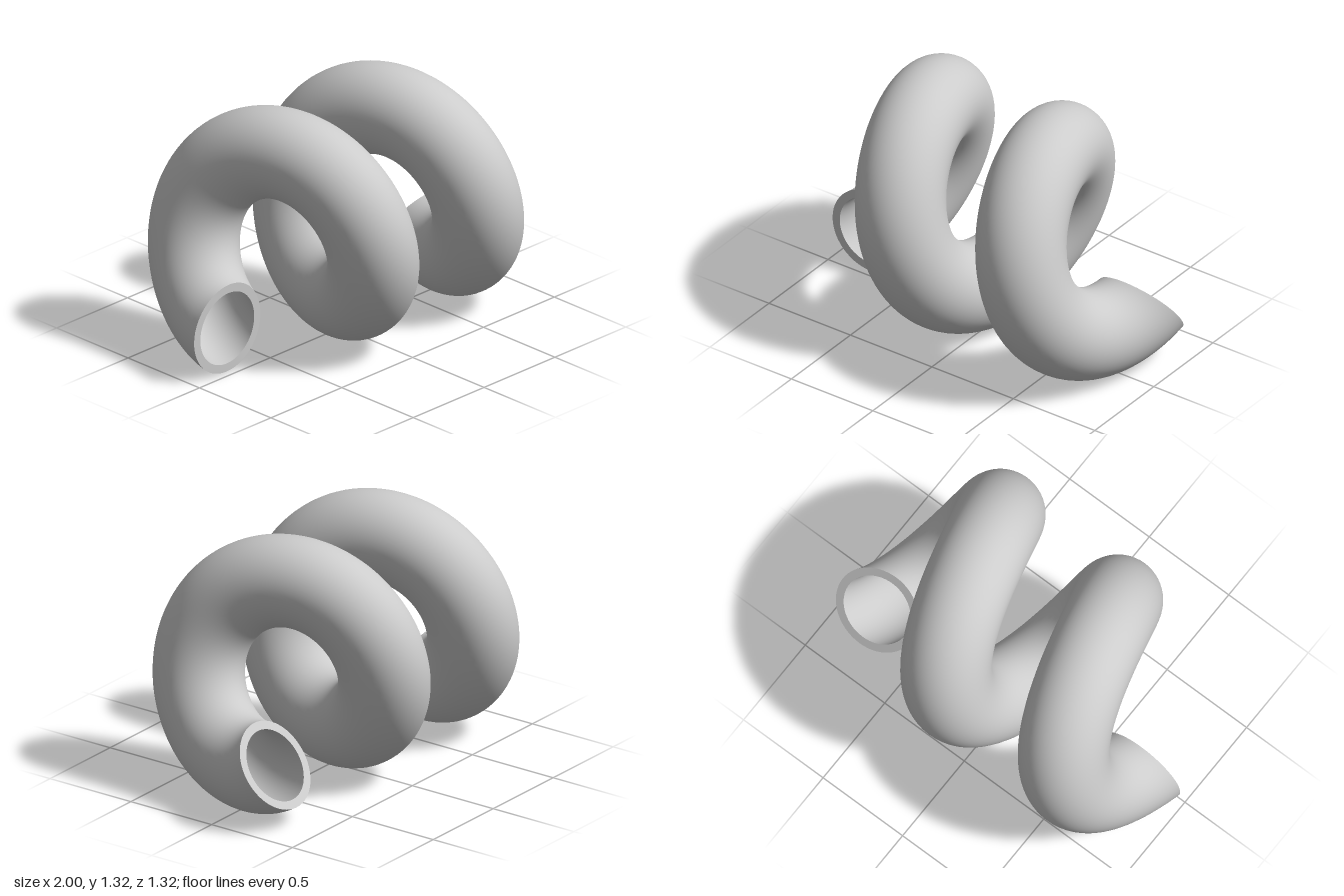
import * as THREE from 'three';

const COIL_R = 0.426, OUTER = 0.234, INNER = 0.19; // coil radius, tube radii
const AXIS_Y = 0.661, PITCH = 0.7395, START_X = -0.776;
const SWEEP = Math.PI * 4.2; // 2.1 turns
const TRIM = 0.038;          // flat ends sit slightly inside the full sweep
const AROUND = 56, ALONG = 240;

// Point on the coiled tube: t along the coil, a around a section of radius rho
function coilPoint(t, a, rho) {
  const r = COIL_R + rho * Math.cos(a);
  const cut = Math.asin(TRIM / r); // keeps both end faces planar
  const angle = cut + t * (SWEEP - 2 * cut);
  return [
    START_X + rho * Math.sin(a) + PITCH * angle / (2 * Math.PI),
    AXIS_Y - r * Math.cos(angle),
    -r * Math.sin(angle),
  ];
}

// Grid of rows that each close into a ring
function ringGrid(rows, point, flip) {
  const positions = [], index = [];
  for (let i = 0; i <= rows; i++) {
    for (let j = 0; j < AROUND; j++) {
      positions.push(...point(i / rows, j / AROUND * Math.PI * 2));
    }
  }
  for (let i = 0; i < rows; i++) {
    for (let j = 0; j < AROUND; j++) {
      const k = (j + 1) % AROUND;
      const a = i * AROUND + j, b = a + AROUND;
      const c = (i + 1) * AROUND + k, d = i * AROUND + k;
      if (flip) index.push(a, c, b, a, d, c);
      else index.push(a, b, c, a, c, d);
    }
  }
  const geometry = new THREE.BufferGeometry();
  geometry.setAttribute('position', new THREE.Float32BufferAttribute(positions, 3));
  geometry.setIndex(index);
  geometry.computeVertexNormals();
  return geometry;
}

export function createModel() {
  const group = new THREE.Group();
  group.name = 'coiledTube';
  const material = new THREE.MeshStandardMaterial({ color: 0xcccccc });
  const add = (name, geometry) => {
    const mesh = new THREE.Mesh(geometry, material);
    mesh.name = name;
    group.add(mesh);
  };

  // Outer wall and bore
  add('outerWall', ringGrid(ALONG, (t, a) => coilPoint(t, a, OUTER), false));
  add('innerWall', ringGrid(ALONG, (t, a) => coilPoint(t, a, INNER), true));

  // Flat annular rims closing the wall at both ends
  const rim = (t) => (s, a) => coilPoint(t, a, INNER + s * (OUTER - INNER));
  add('startRim', ringGrid(1, rim(0), false));
  add('endRim', ringGrid(1, rim(1), true));

  return group;
}
